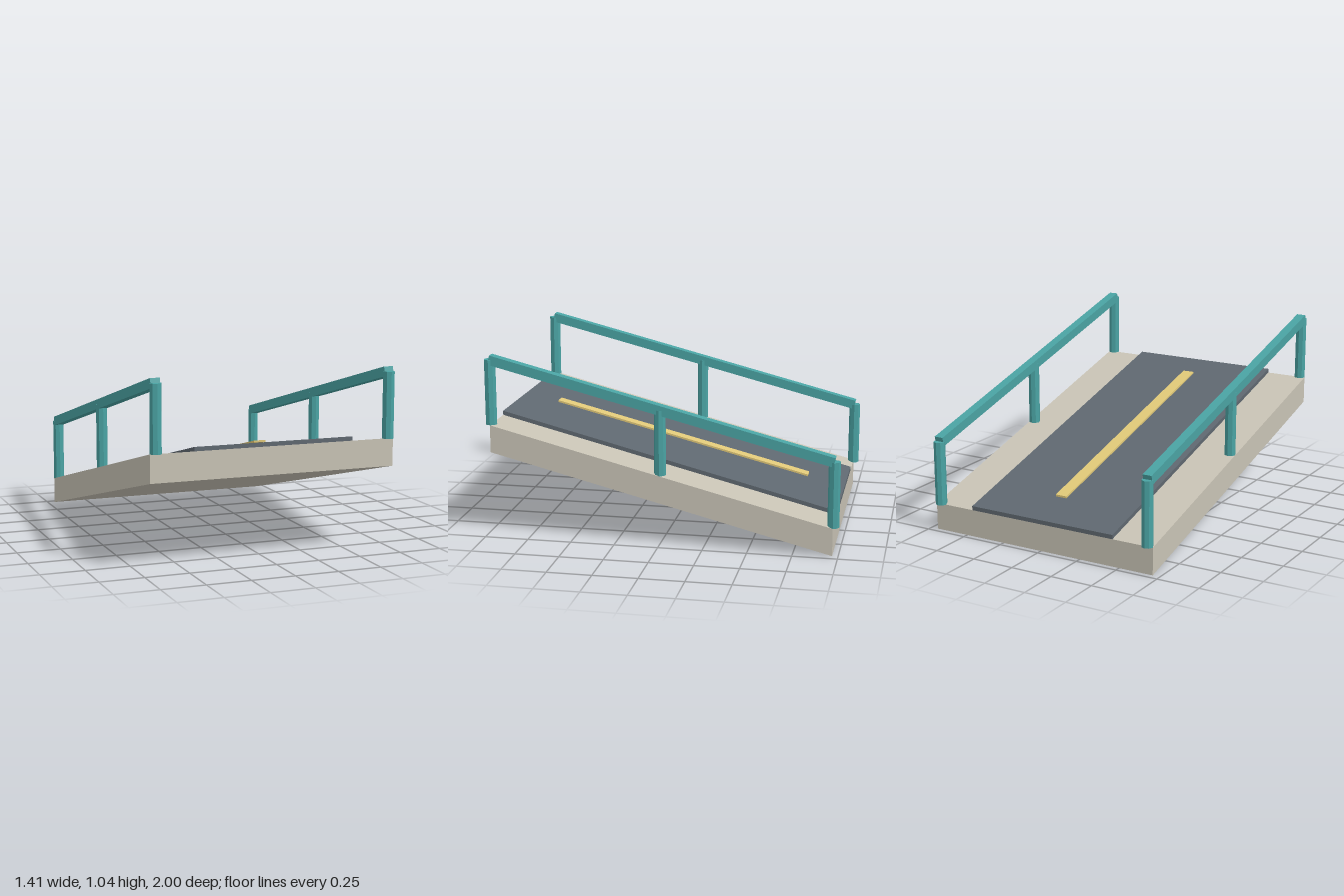
import * as THREE from 'three';

const HALF_LENGTH = 0.967, RISE = 0.489;
const SLOPE = RISE / (2 * HALF_LENGTH);
const SLAB_TOP = 0.401; // deck height at z = 0

const material = (color) => new THREE.MeshStandardMaterial({ color, flatShading: true });

// Box whose y is sheared along z, so its ends stay vertical
function slopedBox(name, width, bottom, top, length, mat) {
  const geometry = new THREE.BoxGeometry(width, top - bottom, length);
  geometry.translate(0, (top + bottom) / 2, 0);
  const p = geometry.attributes.position;
  for (let i = 0; i < p.count; i++) p.setY(i, p.getY(i) + p.getZ(i) * SLOPE);
  geometry.computeVertexNormals();
  const mesh = new THREE.Mesh(geometry, mat);
  mesh.name = name;
  return mesh;
}

export function createModel() {
  const model = new THREE.Group();
  model.name = 'ramp';
  const teal = material(0x4aa3a3);

  // Deck, road surface and the centre stripe just above it
  model.add(
    slopedBox('slab', 1.414, RISE / 2, SLAB_TOP, 2 * HALF_LENGTH, material(0xc8c3b5)),
    slopedBox('roadSurface', 0.918, SLAB_TOP, SLAB_TOP + 0.024, 2 * HALF_LENGTH, material(0x5f6870)),
    slopedBox('centreStripe', 0.07, 0.44, 0.451, 1.51, material(0xe0c878))
  );

  // Railing on each side: three octagonal posts and a tilted top rail
  const postHeight = 0.372;
  const postGeometry = new THREE.CylinderGeometry(0.033, 0.033, postHeight, 8);
  const railGeometry = new THREE.BoxGeometry(0.054, 0.054, 2 * Math.hypot(HALF_LENGTH, RISE / 2));
  for (const side of [-1, 1]) {
    const railing = new THREE.Group();
    railing.name = side > 0 ? 'leftRailing' : 'rightRailing';
    railing.position.x = side * 0.674;
    for (const z of [-HALF_LENGTH, 0, HALF_LENGTH]) {
      const post = new THREE.Mesh(postGeometry, teal);
      post.name = 'post';
      post.position.set(0, SLAB_TOP + z * SLOPE + postHeight / 2, z);
      railing.add(post);
    }
    const rail = new THREE.Mesh(railGeometry, teal);
    rail.name = 'topRail';
    rail.position.y = SLAB_TOP + postHeight;
    rail.rotation.x = -Math.atan(SLOPE);
    railing.add(rail);
    model.add(railing);
  }
  return model;
}
